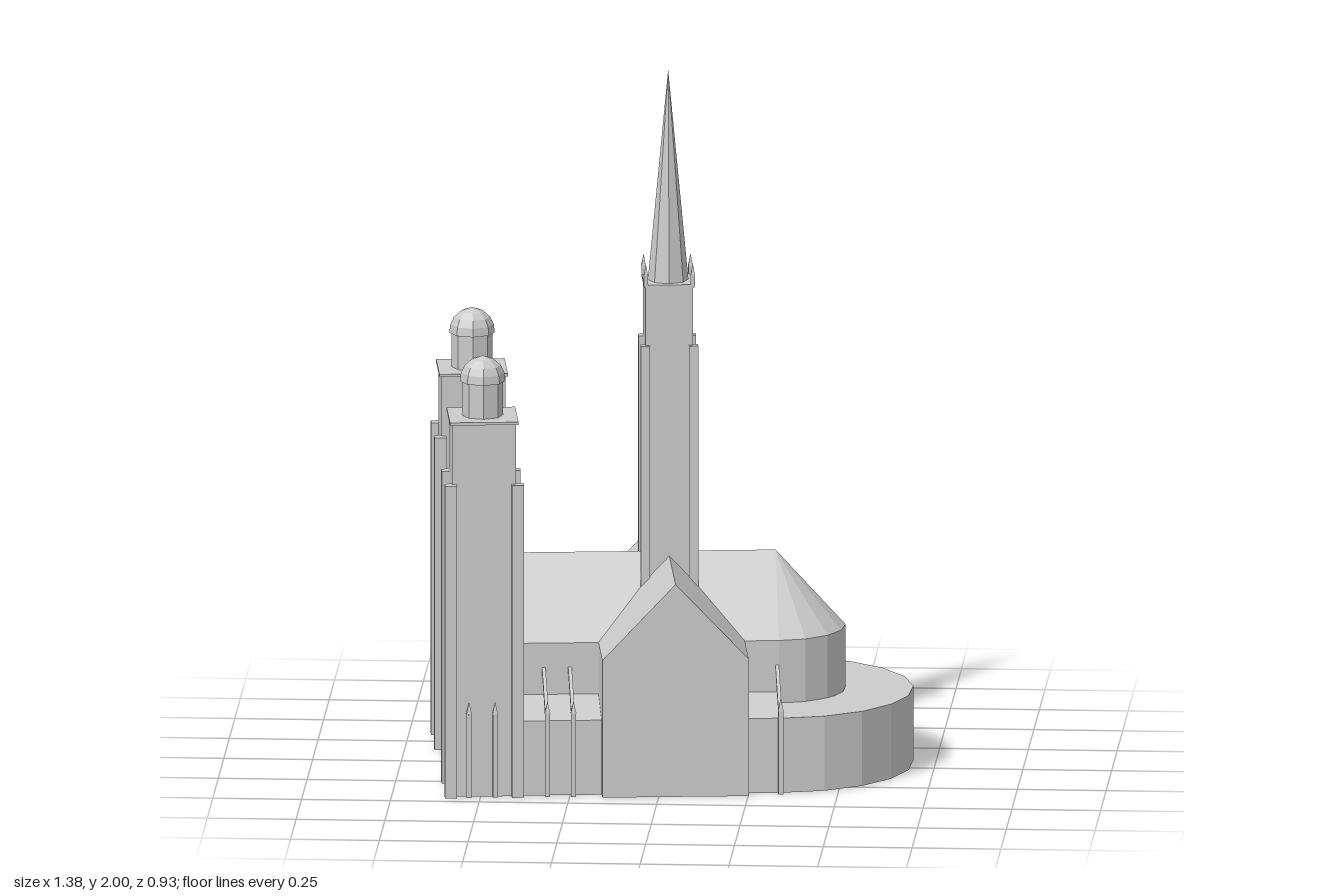
import * as THREE from 'three';

export function createModel() {
  const stone = new THREE.MeshStandardMaterial({ color: 0xcccccc, flatShading: true, side: THREE.DoubleSide });
  stone.name = 'stone';
  const model = new THREE.Group();
  model.name = 'cathedral';
  // The plan is turned slightly: local x runs along the nave, z across it
  const church = new THREE.Group();
  church.name = 'church';
  church.rotation.y = 0.111;
  church.position.z = -0.02;
  model.add(church);

  const add = (name, geo, x = 0, y = 0, z = 0, parent = church) => {
    const m = new THREE.Mesh(geo, stone);
    m.name = name;
    m.position.set(x, y, z);
    parent.add(m);
    return m;
  };
  const box = (name, w, h, d, x, y, z, parent) =>
    add(name, new THREE.BoxGeometry(w, h, d), x, y + h / 2, z, parent);
  const outline = points => new THREE.Shape(points.map(p => new THREE.Vector2(...p)));
  const lathe = (points, segs, start = 0, sweep = Math.PI * 2) => new THREE.LatheGeometry(
    points.map(p => new THREE.Vector2(...p)), segs, start, sweep);

  // Hollow walls and roof: an open cross-section (across, up) swept along +z
  const shell = (points, length) => {
    const position = [], index = [];
    points.forEach(([x, y], i) => {
      position.push(x, y, 0, x, y, length);
      const a = i * 2;
      if (i < points.length - 1) index.push(a, a + 2, a + 1, a + 1, a + 2, a + 3);
    });
    const g = new THREE.BufferGeometry();
    g.setAttribute('position', new THREE.Float32BufferAttribute(position, 3));
    g.setIndex(index);
    const flat = g.toNonIndexed();
    flat.computeVertexNormals();
    return flat;
  };

  const EAVE = 0.395, RIDGE = 0.612, HALF = 0.197, AISLE = 0.388, APSE = 0.302, WEST = -0.622;
  const gable = w => [[w, 0], [w, EAVE], [0, RIDGE], [-w, EAVE], [-w, 0]];
  const gableWall = (w, x, z, turn) => {
    add('gableWall', new THREE.ShapeGeometry(outline(gable(w))), x, 0, z).rotation.y = turn;
  };

  // Nave and choir, with the transept crossing them
  add('nave', shell(gable(HALF), APSE - WEST), WEST).rotation.y = Math.PI / 2;
  gableWall(HALF, WEST, 0, -Math.PI / 2);
  add('transept', shell(gable(0.206), 0.85), 0, 0, -0.425);
  gableWall(0.206, 0, 0.425, 0);
  gableWall(0.206, 0, -0.425, Math.PI);

  // Rounded east end and the low passage around it
  add('apse', lathe([[HALF, 0], [HALF, EAVE], [0, RIDGE]], 8, 0, Math.PI), APSE);
  add('ambulatory', lathe([[AISLE, 0], [AISLE, 0.215], [HALF, 0.215]], 10, 0, Math.PI), APSE);

  const pierX = [-0.58, -0.5065, -0.433, -0.3595, -0.286, 0.297];
  for (const s of [1, -1]) {
    // Side aisle with a shallow lean-to roof
    const section = [[-s * HALF, 0.247], [-s * AISLE, 0.215], [-s * AISLE, 0]];
    if (s < 0) section.reverse();
    add('aisle', shell(section, APSE - WEST), WEST).rotation.y = Math.PI / 2;

    // Pinnacled piers and sloping flyers
    for (const x of pierX) {
      box('pier', 0.014, 0.24, 0.016, x, 0, s * 0.403);
      const tip = add('pierPinnacle', new THREE.ConeGeometry(0.011, 0.035, 4), x, 0.2575, s * 0.403);
      tip.rotation.y = Math.PI / 4;
      const flyer = outline([[-s * 0.4, 0.205], [-s * 0.4, 0.222], [-s * 0.197, 0.325], [-s * 0.197, 0.308]]);
      const bar = new THREE.ExtrudeGeometry(flyer, { depth: 0.01, bevelEnabled: false });
      add('flyingButtress', bar, x - 0.005).rotation.y = Math.PI / 2;
    }
  }

  // Square hollow tower shaft with corner buttresses
  const tower = (name, x, z, half, base, top, buttressTop, offset, size) => {
    const g = new THREE.Group();
    g.name = name;
    g.position.set(x, 0, z);
    church.add(g);
    const r = half * Math.SQRT2, h = top - base;
    const shaft = new THREE.CylinderGeometry(r, r, h, 4, 1, true, Math.PI / 4);
    add('towerShaft', shaft, 0, base + h / 2, 0, g);
    for (const sx of [1, -1]) for (const sz of [1, -1])
      box('towerButtress', size, buttressTop - base, size, sx * offset, base, sz * offset, g);
    return g;
  };

  // West towers with drum and slightly pointed dome
  const dome = [[0.054, 0], [0.064, 0], [0.061, 0.024], [0.051, 0.045], [0.032, 0.062], [0, 0.073]];
  for (const s of [1, -1]) {
    const t = tower('westTower', -0.537, s * 0.304, 0.09, 0, 1.072, 0.9, 0.094, 0.034);
    box('towerCornice', 0.193, 0.008, 0.193, 0, 1.072, 0, t);
    add('drum', new THREE.CylinderGeometry(0.058, 0.058, 0.1, 8), 0, 1.13, 0, t);
    add('dome', lathe(dome, 8), 0, 1.178, 0, t);
  }

  // Crossing tower rising from the roofs, with spire and corner pinnacles
  const c = tower('crossingTower', 0, 0, 0.067, EAVE, 1.388, 1.22, 0.068, 0.026);
  box('towerCornice', 0.142, 0.008, 0.142, 0, 1.387, 0, c);
  add('spire', new THREE.ConeGeometry(0.057, 0.605, 8), 0, 1.6975, 0, c);
  for (const sx of [1, -1]) for (const sz of [1, -1]) {
    box('pinnacleBase', 0.012, 0.03, 0.012, sx * 0.066, 1.39, sz * 0.066, c);
    const tip = add('pinnacle', new THREE.ConeGeometry(0.009, 0.035, 4), sx * 0.066, 1.4375, sz * 0.066, c);
    tip.rotation.y = Math.PI / 4;
  }
  return model;
}
